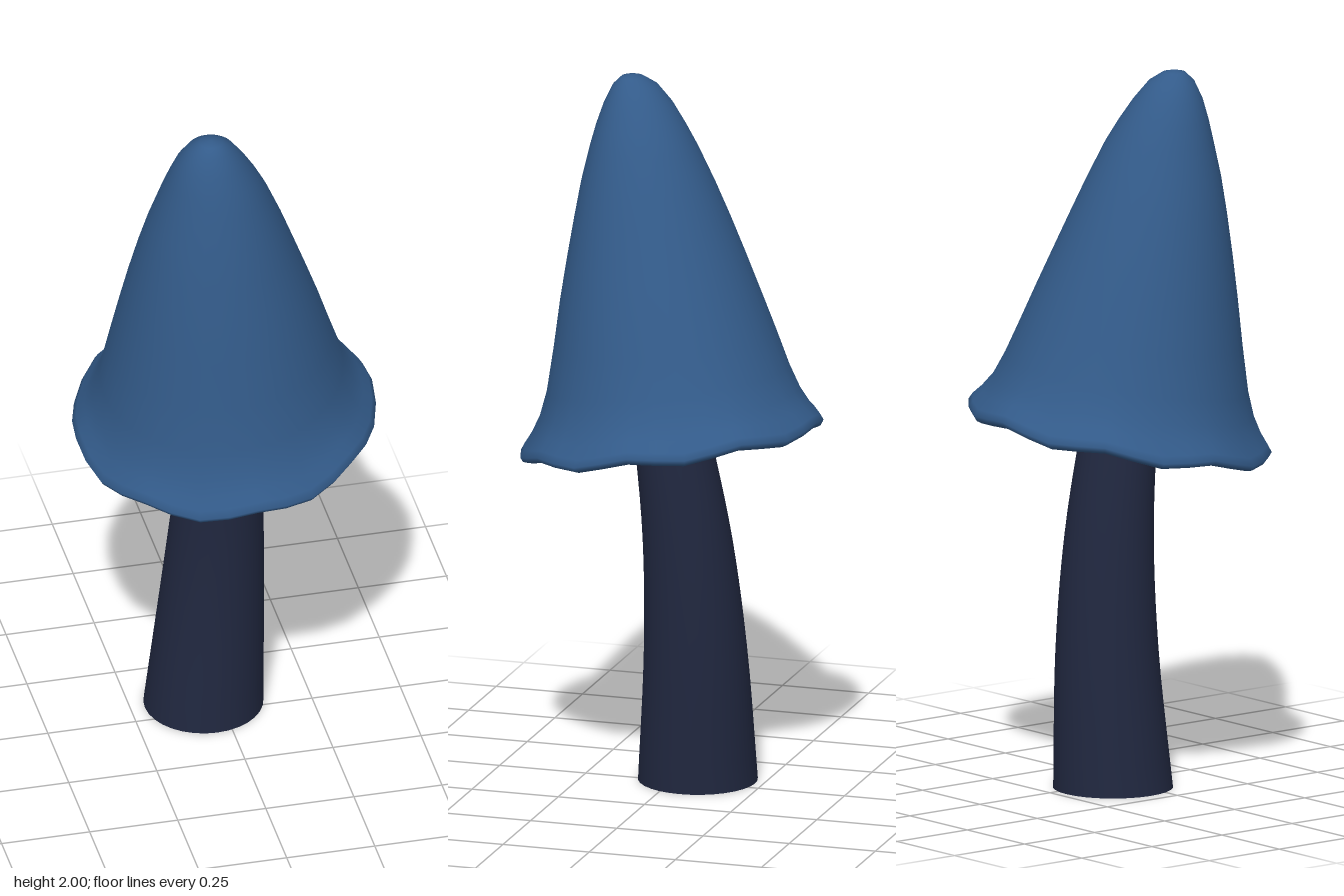
import * as THREE from 'three';
import { mergeVertices } from 'three/addons/utils/BufferGeometryUtils.js';

const SEGMENTS = 32;

// Skin a list of rings [centreX, y, centreZ, radius, tilt, wave], ordered from the top down.
function skinRings(rings) {
  const positions = [], index = [];
  for (const [cx, y, cz, r, tilt = 0, wave = 0] of rings) {
    for (let j = 0; j < SEGMENTS; j++) {
      const a = (j / SEGMENTS) * Math.PI * 2;
      const dx = r * Math.sin(a), dz = r * Math.cos(a);
      const lift = tilt * (0.08 * dx - 0.15 * dz) + wave * Math.cos(8 * a);
      positions.push(cx + dx, y + lift, cz + dz);
    }
  }
  for (let i = 0; i < rings.length - 1; i++) {
    for (let j = 0; j < SEGMENTS; j++) {
      const k = (j + 1) % SEGMENTS;
      const a = i * SEGMENTS + j, b = i * SEGMENTS + k;
      const c = b + SEGMENTS, d = a + SEGMENTS;
      index.push(a, d, c, a, c, b);
    }
  }
  let geometry = new THREE.BufferGeometry();
  geometry.setAttribute('position', new THREE.Float32BufferAttribute(positions, 3));
  geometry.setIndex(index);
  geometry = mergeVertices(geometry, 1e-5); // joins the tips into single points
  geometry.computeVertexNormals();
  return geometry;
}

function addMesh(parent, name, geometry, material) {
  const mesh = new THREE.Mesh(geometry, material);
  mesh.name = name;
  parent.add(mesh);
}

export function createModel() {
  const model = new THREE.Group();
  model.name = 'mushroom';
  const capMaterial = new THREE.MeshStandardMaterial({ color: 0x335b8a });
  const stemMaterial = new THREE.MeshStandardMaterial({ color: 0x20273f, side: THREE.DoubleSide });

  // Leaning bell: outside from tip to rim
  const outside = [
    [-0.070, 2.000, 0.138, 0],
    [-0.069, 1.993, 0.136, 0.032],
    [-0.068, 1.970, 0.128, 0.063],
    [-0.065, 1.920, 0.118, 0.096],
    [-0.058, 1.860, 0.108, 0.125],
    [-0.052, 1.800, 0.098, 0.150],
    [-0.046, 1.700, 0.084, 0.186],
    [-0.040, 1.600, 0.070, 0.217, 0.1],
    [-0.032, 1.490, 0.055, 0.249, 0.2],
    [-0.024, 1.380, 0.041, 0.279, 0.4],
    [-0.017, 1.260, 0.026, 0.309, 0.7],
    [-0.011, 1.150, 0.015, 0.337, 1.0, 0.002],
    [-0.006, 1.085, 0.008, 0.361, 1.0, 0.003],
    [-0.002, 1.042, 0.003, 0.386, 1.0, 0.006],
    [0, 1.012, 0, 0.409, 1.0, 0.009],
    [0, 0.993, 0, 0.420, 1.0, 0.010],
  ];
  // Rolled lip, broad shallow underside, then the hollow throat
  const underside = [
    [0, 0.980, 0, 0.413, 1.0, 0.010],
    [0, 0.975, 0, 0.398, 1.0, 0.010],
    [0, 0.980, 0, 0.365, 1.0, 0.009],
    [0, 0.990, 0, 0.310, 1.0, 0.006],
    [0, 1.007, 0, 0.265, 1.0, 0.003],
    [0, 1.040, 0.002, 0.233, 0.9],
    [-0.002, 1.100, 0.008, 0.212, 0.7],
    [-0.008, 1.200, 0.020, 0.197, 0.4],
    [-0.020, 1.380, 0.041, 0.175, 0.2],
    [-0.036, 1.560, 0.068, 0.130],
    [-0.046, 1.680, 0.085, 0.070],
    [-0.050, 1.710, 0.090, 0],
  ];
  addMesh(model, 'cap', skinRings([...outside, ...underside]), capMaterial);

  // Curved, tapering stem, closed inside the cap and open at the foot
  const centre = new THREE.CatmullRomCurve3([
    new THREE.Vector3(0.000, 1.30, 0.055),
    new THREE.Vector3(0.002, 1.00, 0.000),
    new THREE.Vector3(-0.005, 0.70, -0.043),
    new THREE.Vector3(-0.019, 0.38, -0.062),
    new THREE.Vector3(-0.044, 0.00, -0.061),
  ]);
  const stemRings = [[0, 1.30, 0.055, 0]];
  const steps = 20;
  for (let i = 0; i <= steps; i++) {
    const p = centre.getPoint(i / steps);
    stemRings.push([p.x, p.y, p.z, 0.166 - 0.06 * p.y]);
  }
  addMesh(model, 'stem', skinRings(stemRings), stemMaterial);

  return model;
}
